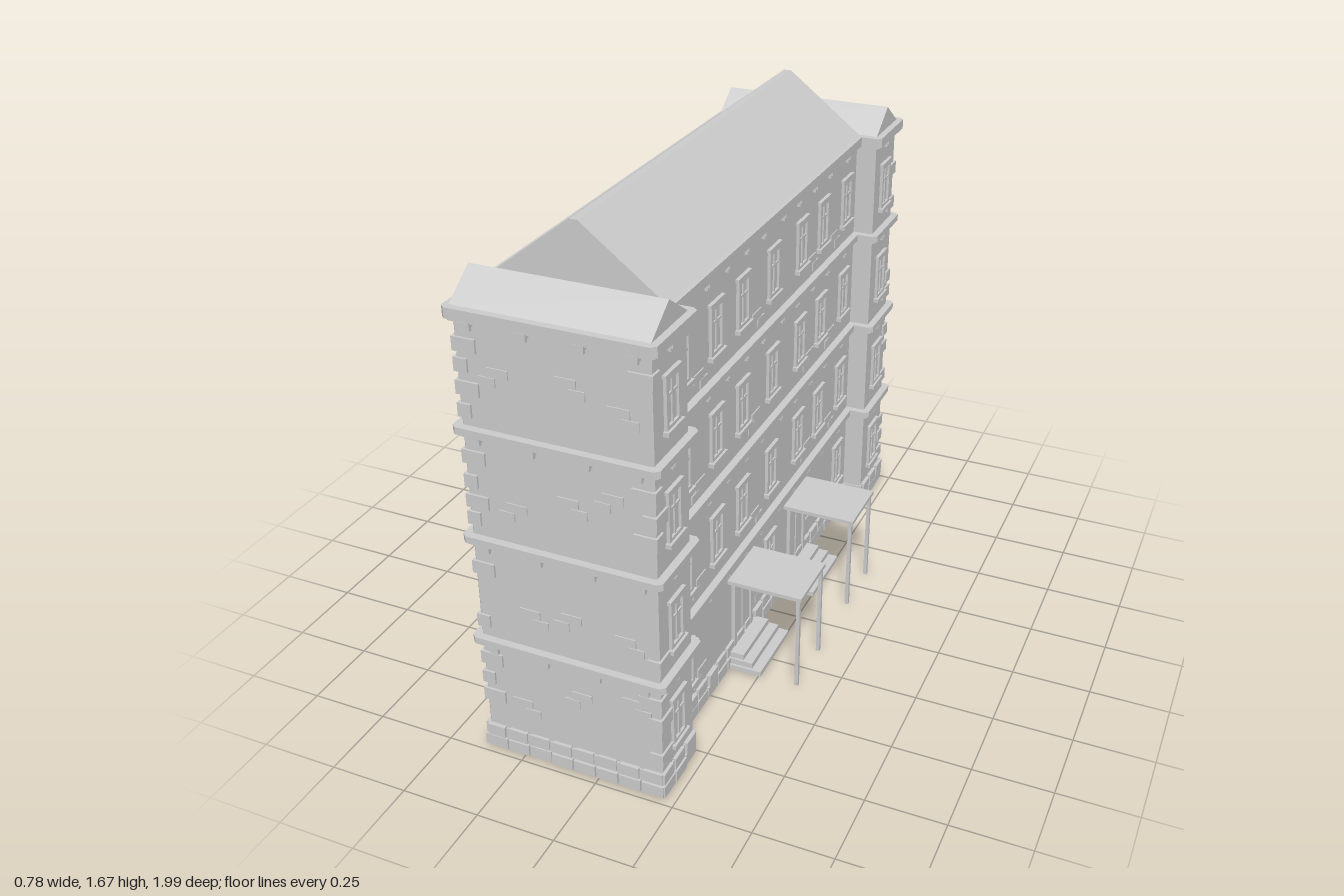
import * as THREE from 'three';
import { mergeGeometries } from 'three/addons/utils/BufferGeometryUtils.js';

const FLOORS = [0.395, 0.745, 1.095, 1.44]; // underside of each cornice
const SILLS = [0.15, 0.49, 0.845, 1.19];
const BACK = -0.368, MAIN = 0.14, TOWER = 0.208, END = 0.972, INNER = 0.762;

export function createModel() {
  const group = new THREE.Group();
  const mat = new THREE.MeshStandardMaterial({ color: 0xcccccc, flatShading: true });

  let seed = 7;
  const rand = () => (seed = (seed * 16807) % 2147483647) / 2147483647;

  // one mesh from a list of geometries, un-indexed so that all kinds merge
  const add = (name, geos) => {
    const parts = geos.map((g) => (g.index ? g.toNonIndexed() : g));
    const mesh = new THREE.Mesh(mergeGeometries(parts), mat);
    mesh.name = name;
    group.add(mesh);
  };
  // box given by its min and max corners
  const box = (x0, x1, y0, y1, z0, z1) =>
    new THREE.BoxGeometry(x1 - x0, y1 - y0, z1 - z0)
      .translate((x0 + x1) / 2, (y0 + y1) / 2, (z0 + z1) / 2);

  // U-shaped plan, grown outward by d, with chamfered outer corners c
  const plan = (d, c, y, h) => {
    const b = BACK - d, t = TOWER + d, m = MAIN + d, e = END + d, i = INNER - d;
    const half = [[m, i], [t - c, i], [t, i + c], [t, e - c], [t - c, e], [b + c, e], [b, e - c]];
    const pts = [...half, ...half.map(([x, z]) => [x, -z]).reverse()];
    const shape = new THREE.Shape(pts.map(([x, z]) => new THREE.Vector2(x, z)));
    return new THREE.ExtrudeGeometry(shape, { depth: h, bevelEnabled: false })
      .rotateX(-Math.PI / 2).translate(0, y, 0);
  };
  // box on a wall: u runs along the wall, d is how far it stands out
  const onWall = (wall, u, y, w, h, d) => {
    const a = u - w / 2, b = u + w / 2, k = 0.01;
    if (wall === 'main') return box(MAIN - k, MAIN + d, y, y + h, a, b);
    if (wall === 'tower') return box(TOWER - k, TOWER + d, y, y + h, a, b);
    if (wall === 'back') return box(BACK - d, BACK + k, y, y + h, a, b);
    return wall === 'endFront' ? box(a, b, y, y + h, END - k, END + d)
      : box(a, b, y, y + h, -END - d, -END + k);
  };
  const ENDS = ['endFront', 'endBack'];

  add('walls', [plan(0, 0.004, 0.015, 1.44)]);

  // cornices: slab over a thinner moulding
  FLOORS.forEach((y, i) => {
    const h = i === 3 ? 0.032 : 0.022;
    add('cornice', [plan(0.024, 0.014, y, h), plan(0.015, 0.01, y - 0.008, 0.01)]);
  });

  // dentils below the cornices
  const dentils = [];
  const dentil = (wall, u, y) => {
    dentils.push(onWall(wall, u, y - 0.02, 0.034, 0.016, 0.018));
    dentils.push(onWall(wall, u, y - 0.032, 0.026, 0.014, 0.011));
  };
  for (const y of FLOORS) {
    for (const s of [-1, 1]) {
      for (const z of [0.08, 0.21, 0.35, 0.49, 0.66]) dentil('main', s * z, y);
      dentil('tower', s * 0.867, y);
    }
    for (const e of ENDS) for (const x of [-0.325, -0.158, 0.01, 0.163]) dentil(e, x, y);
  }
  add('dentils', dentils);

  // plinth: two courses of slightly uneven blocks around the plan
  const plinth = [plan(0.005, 0.004, 0.01, 0.075)];
  const course = (wall, u0, u1) => {
    const n = Math.round((u1 - u0) / 0.075), w = (u1 - u0) / n;
    for (let r = 0; r < 2; r++) {
      for (let i = 0; i < n; i++) {
        const u = u0 + (i + 0.5) * w;
        plinth.push(onWall(wall, u, r ? 0.052 : 0.01, w - 0.005 - r * 0.01, 0.038,
          0.009 + 0.006 * rand()));
      }
    }
  };
  course('back', -0.985, 0.985);
  course('main', -0.75, 0.75);
  for (const e of ENDS) course(e, BACK - 0.01, TOWER + 0.01);
  course('tower', INNER, 0.985);
  course('tower', -0.985, -INNER);
  add('plinth', plinth);

  // quoins wrapping the outer tower corners
  const quoins = [];
  for (const s of [-1, 1]) {
    for (const floor of [0.09, 0.42, 0.77, 1.12]) {
      for (let i = 0; i < 4; i++) {
        const y = floor + 0.02 + i * 0.065 + 0.015 * rand();
        const long = i % 2 ? 0.065 : 0.035;
        const z0 = END - (0.1 - long), z1 = END + 0.007;
        const quoin = (x0, x1) =>
          quoins.push(box(x0, x1, y, y + 0.042, s > 0 ? z0 : -z1, s > 0 ? z1 : -z0));
        if (rand() < 0.65) quoin(TOWER - long, TOWER + 0.007);
        if (rand() < 0.65) quoin(BACK - 0.007, BACK + long);
      }
    }
  }
  add('quoins', quoins);

  // scattered stepped clusters of raised bricks
  const bricks = [];
  const cluster = (wall, u, y) => {
    const dir = rand() < 0.5 ? -1 : 1;
    bricks.push(onWall(wall, u, y, 0.065, 0.028, 0.004));
    bricks.push(onWall(wall, u + dir * 0.033, y - 0.03, 0.05, 0.028, 0.004));
  };
  for (const floor of [0.09, 0.42, 0.77, 1.12]) {
    for (let i = 0; i < 7; i++) {
      cluster('back', -0.84 + i * 0.27 + 0.1 * rand(), floor + 0.06 + 0.18 * rand());
    }
    for (const e of ENDS) {
      for (let i = 0; i < 3; i++) {
        cluster(e, -0.25 + i * 0.16 + 0.06 * rand(), floor + 0.06 + 0.16 * rand());
      }
    }
    for (const z of [-0.55, -0.34, 0.13, 0.55]) cluster('main', z, floor + 0.03 + 0.02 * rand());
  }
  add('raisedBricks', bricks);

  // framed windows with glazing bars and a sill
  const windowParts = (wall, z, y) => {
    const w = 0.084, h = 0.155, f = 0.012;
    const part = (dz, dy, pw, ph, d) => onWall(wall, z + dz, y + dy, pw, ph, d);
    return [
      part(0, 0, w, h, 0.002),
      part(-w / 2 + f / 2, 0, f, h, 0.01), part(w / 2 - f / 2, 0, f, h, 0.01),
      part(0, h - f, w, f, 0.01), part(0, 0, w, f, 0.01),
      part(0, f, 0.007, h - 2 * f, 0.007), part(0, h * 0.62, w - 2 * f, 0.007, 0.007),
      part(0, -0.012, 0.1, 0.014, 0.018), part(0, h, 0.098, 0.01, 0.012),
    ];
  };
  SILLS.forEach((y, floor) => {
    const main = floor === 0 ? [-0.66, 0, 0.66] : [-0.66, -0.435, -0.24, 0, 0.24, 0.435, 0.66];
    for (const z of main) add('window', windowParts('main', z, y));
    for (const z of [-0.867, 0.867]) add('window', windowParts('tower', z, y));
  });

  // entrances: door, steps and a canopy on two posts
  for (const z of [-0.24, 0.24]) {
    add('door', [
      onWall('main', z, 0.06, 0.13, 0.24, 0.004),
      onWall('main', z - 0.067, 0.06, 0.014, 0.25, 0.012),
      onWall('main', z + 0.067, 0.06, 0.014, 0.25, 0.012),
      onWall('main', z, 0.298, 0.148, 0.014, 0.012),
      onWall('main', z, 0.06, 0.008, 0.24, 0.008),
    ]);
    add('steps', [0, 1, 2].map((i) => {
      const half = 0.122 - i * 0.008;
      return box(MAIN - 0.005, 0.262 - i * 0.033, 0.01, 0.027 + i * 0.019, z - half, z + half);
    }));
    add('canopy', [box(MAIN - 0.005, 0.39, 0.329, 0.342, z - 0.108, z + 0.108)]);
    add('canopyPosts', [-1, 1].map((s) =>
      box(0.372, 0.384, 0, 0.332, z + s * 0.098 - 0.006, z + s * 0.098 + 0.006)));
  }

  // gabled roofs: the main one has a narrow flat ridge
  const prism = (pts, depth) => new THREE.ExtrudeGeometry(
    new THREE.Shape(pts.map(([x, y]) => new THREE.Vector2(x, y))), { depth, bevelEnabled: false });
  add('mainRoof', [
    prism([[-0.39, 1.468], [0.155, 1.468], [-0.105, 1.668], [-0.13, 1.668]], 1.51)
      .translate(0, 0, -0.755),
  ]);
  for (const s of [-1, 1]) {
    add('towerRoof', [
      prism([[-0.112, 1.468], [0.112, 1.468], [0, 1.547]], 0.585)
        .rotateY(Math.PI / 2).translate(-0.375, 0, s * 0.867),
    ]);
  }
  return group;
}
